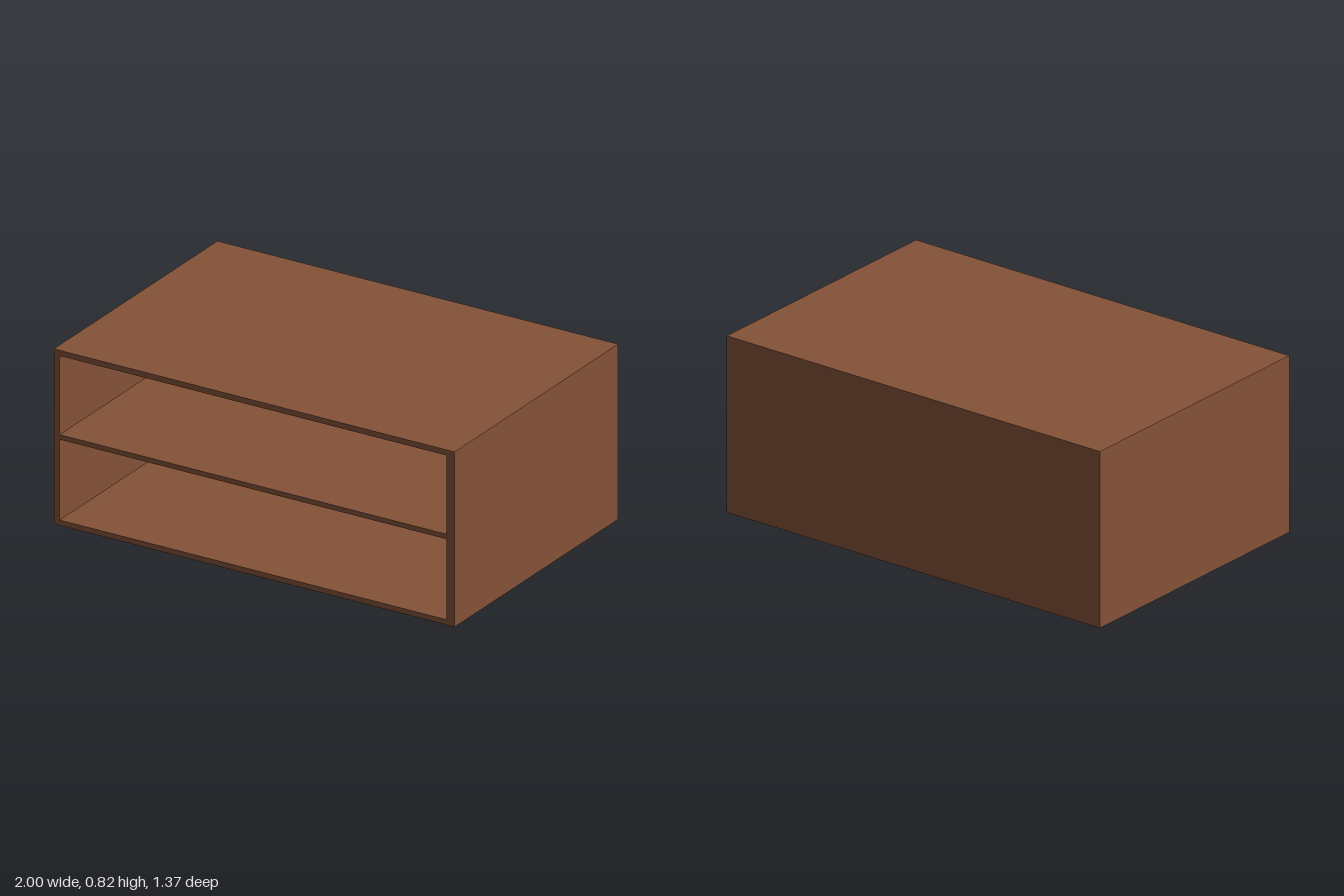
import * as THREE from 'three';

const HALF_W = 0.99, HEIGHT = 0.82, HALF_D = 0.6375, BACK = 0.03;

// Slight skew of the whole cabinet seen from above
const skew = new THREE.Matrix4().set(
  1, 0, 0.01 / HALF_D, 0,
  0, 1, 0, 0,
  -0.0475 / HALF_W, 0, 1, 0,
  0, 0, 0, 1
);

function rectangle(Type, x0, x1, y0, y1) {
  return new Type([[x0, y0], [x1, y0], [x1, y1], [x0, y1]].map(([x, y]) => new THREE.Vector2(x, y)));
}

export function createModel() {
  const group = new THREE.Group();
  group.name = 'openCabinet';
  const wood = new THREE.MeshStandardMaterial({ color: 0x855238 });
  wood.name = 'brown wood';

  function add(name, geometry) {
    const mesh = new THREE.Mesh(geometry.applyMatrix4(skew), wood);
    mesh.name = name;
    group.add(mesh);
  }

  // Sides, top, bottom and middle shelf around two open compartments
  const outline = rectangle(THREE.Shape, -HALF_W, HALF_W, 0, HEIGHT);
  for (const [y0, y1] of [[0.025, 0.402], [0.425, 0.794]]) {
    outline.holes.push(rectangle(THREE.Path, -0.961, 0.949, y0, y1));
  }
  const frame = new THREE.ExtrudeGeometry(outline, { depth: 2 * HALF_D - BACK, bevelEnabled: false });
  frame.translate(0, 0, BACK - HALF_D);
  add('shelfFrame', frame);

  // Closed back
  const back = new THREE.BoxGeometry(2 * HALF_W, HEIGHT, BACK);
  back.translate(0, HEIGHT / 2, BACK / 2 - HALF_D);
  add('backPanel', back);

  return group;
}
